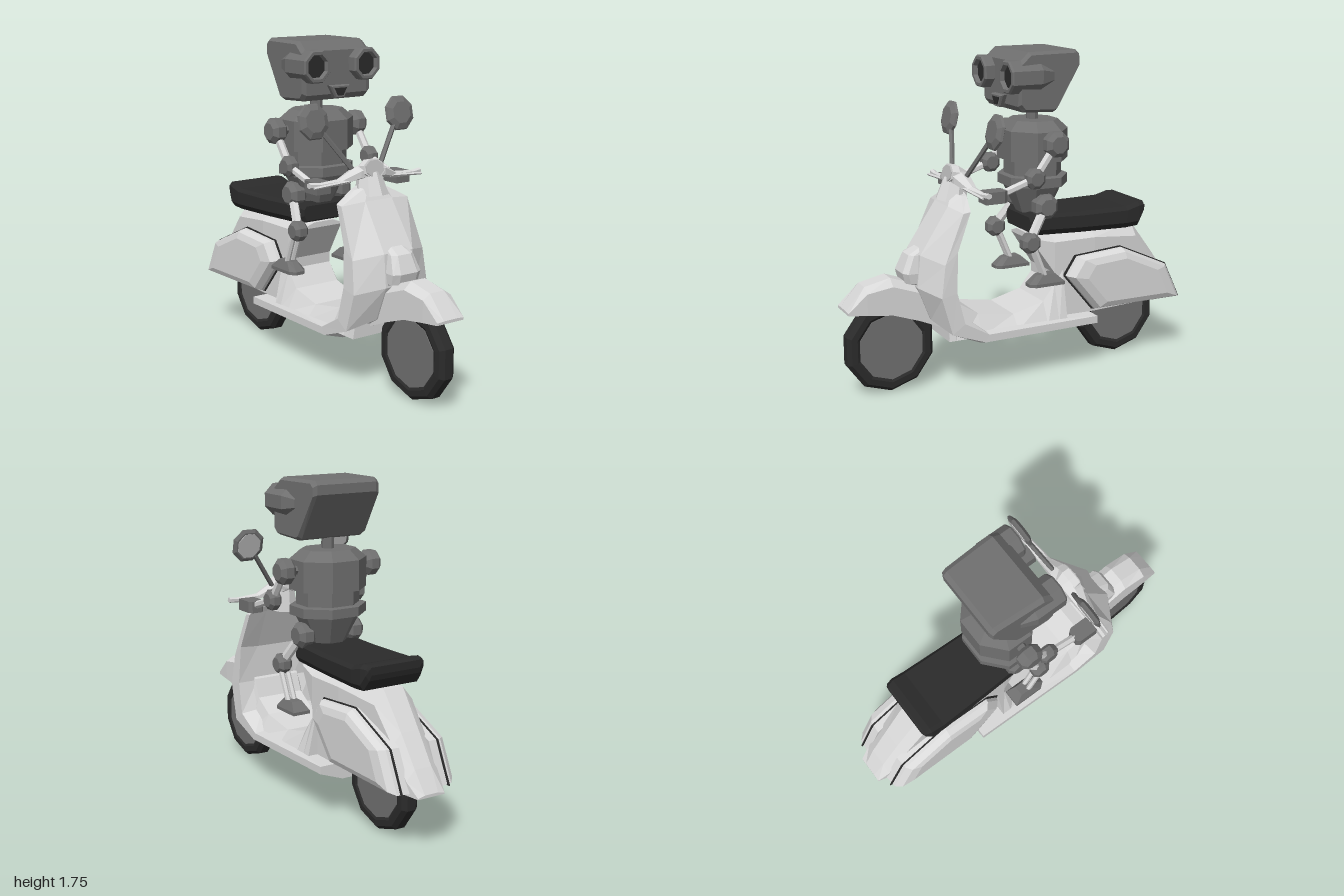
import * as THREE from 'three';

const paint = (name, color) => { const m = new THREE.MeshStandardMaterial({ color }); m.name = name; return m; };

export function createModel() {
  const model = new THREE.Group();
  const body = paint('pale paint', 0xd8d8d8), metal = paint('robot grey', 0x707070);
  const black = paint('black rubber', 0x2b2b2b), glass = paint('pale glass', 0xbdbdbd);

  // Adds a faceted mesh, turning faces outward where needed
  function add(name, geo, mat) {
    const g = geo.index ? geo.toNonIndexed() : geo;
    const p = g.attributes.position, a = new THREE.Vector3(), b = new THREE.Vector3(), c = new THREE.Vector3();
    let vol = 0;
    for (let i = 0; i < p.count; i += 3) {
      a.fromBufferAttribute(p, i); b.fromBufferAttribute(p, i + 1); c.fromBufferAttribute(p, i + 2);
      vol += a.dot(b.cross(c));
    }
    if (vol < 0) for (let i = 0; i < p.count; i += 3) {
      b.fromBufferAttribute(p, i + 1); c.fromBufferAttribute(p, i + 2);
      p.setXYZ(i + 1, c.x, c.y, c.z); p.setXYZ(i + 2, b.x, b.y, b.z);
    }
    g.computeVertexNormals();
    const mesh = new THREE.Mesh(g, mat);
    mesh.name = name;
    model.add(mesh);
    return mesh;
  }

  // Skin over closed rings of [x, y, z], capped at both ends
  function loft(rings) {
    const n = rings[0].length, out = [];
    const tri = (...pts) => pts.forEach(p => out.push(...p));
    for (let i = 0; i < rings.length - 1; i++) for (let j = 0; j < n; j++) {
      const k = (j + 1) % n, A = rings[i], B = rings[i + 1];
      tri(A[j], B[j], A[k]); tri(A[k], B[j], B[k]);
    }
    const cap = (r, flip) => {
      const mid = [0, 1, 2].map(d => r.reduce((s, p) => s + p[d], 0) / n);
      r.forEach((p, j) => { const q = r[(j + 1) % n]; flip ? tri(mid, q, p) : tri(mid, p, q); });
    };
    cap(rings[0], false); cap(rings[rings.length - 1], true);
    const g = new THREE.BufferGeometry();
    g.setAttribute('position', new THREE.Float32BufferAttribute(out, 3));
    return g;
  }

  // Rod between two points
  function rod(name, a, b, r0, r1, mat, sides = 6) {
    const A = new THREE.Vector3(...a), B = new THREE.Vector3(...b);
    const m = add(name, new THREE.CylinderGeometry(r1, r0, A.distanceTo(B), sides), mat);
    m.position.copy(A).add(B).multiplyScalar(0.5);
    m.quaternion.setFromUnitVectors(new THREE.Vector3(0, 1, 0), B.sub(A).normalize());
  }
  const lathe = (pts, sides, phi = 0) => new THREE.LatheGeometry(pts.map(p => new THREE.Vector2(...p)), sides, phi);
  // Octagonal joint drum lying along x
  const joint = (name, x, y, z, r, w) => add(name, lathe([[0, -w], [r * 0.65, -w], [r, -w * 0.5], [r, w * 0.5], [r * 0.65, w], [0, w]], 8, Math.PI / 8)
    .rotateZ(Math.PI / 2).translate(x, y, z), metal);

  // Wheels
  for (const [name, z] of [['front', 0.76], ['rear', -0.61]]) {
    add(name + 'Tyre', lathe([[0, -0.042], [0.18, -0.042], [0.195, -0.05], [0.228, -0.048], [0.248, -0.025], [0.248, 0.025], [0.228, 0.048],
      [0.195, 0.05], [0.18, 0.042], [0, 0.042]], 10, Math.PI / 2).rotateZ(Math.PI / 2).translate(0, 0.248, z), black);
    add(name + 'Hub', new THREE.CylinderGeometry(0.18, 0.18, 0.092, 10, 1, false, Math.PI / 2).rotateZ(Math.PI / 2).translate(0, 0.248, z), metal);
  }

  // Front fender: z, top, bottom, half width
  add('frontFender', loft([[1.0, 0.475, 0.46, 0.085], [0.9, 0.59, 0.45, 0.09], [0.76, 0.62, 0.43, 0.09], [0.62, 0.57, 0.38, 0.09], [0.48, 0.53, 0.32, 0.09]]
    .map(([z, t, b, w]) => {
      const s = t - (t - b) * 0.2;
      return [[-w, b, z], [-w, s, z], [-w * 0.5, t, z], [w * 0.5, t, z], [w, s, z], [w, b, z]];
    })), body);

  // Leg shield running into the floor: half width, outer centre, outer edge, inner edge, inner centre as z, y
  add('legShield', loft([
    [0.10, 0.41, 1.04, 0.38, 1.02, 0.35, 1.02, 0.35, 1.04],
    [0.215, 0.45, 0.97, 0.42, 0.955, 0.38, 0.96, 0.38, 0.97],
    [0.23, 0.61, 0.73, 0.53, 0.70, 0.46, 0.76, 0.47, 0.75],
    [0.24, 0.63, 0.56, 0.555, 0.53, 0.47, 0.55, 0.47, 0.55],
    [0.245, 0.56, 0.38, 0.50, 0.33, 0.43, 0.38, 0.41, 0.40],
    [0.24, 0.28, 0.21, 0.31, 0.26, 0.29, 0.30, 0.29, 0.31],
    [0.23, -0.37, 0.21, -0.37, 0.26, -0.37, 0.30, -0.37, 0.30],
  ].map(([w, cz, cy, ez, ey, iz, iy, jz, jy]) => [
    [-w, ey, ez], [-w * 0.4, cy, cz], [w * 0.4, cy, cz], [w, ey, ez], [w, iy, iz], [w * 0.5, jy, jz], [-w * 0.5, jy, jz], [-w, iy, iz]])), body);

  // Horn cover on the shield
  add('hornCover', loft([[0.055, 0.76, 0.50, 0.585], [0.07, 0.725, 0.50, 0.655], [0.09, 0.635, 0.5, 0.695], [0.085, 0.58, 0.5, 0.68], [0.07, 0.56, 0.5, 0.6]]
    .map(([w, y, b, f]) => [[-w, y, b], [-w, y, f - 0.02], [-w * 0.6, y, f], [w * 0.6, y, f], [w, y, f - 0.02], [w, y, b]])), body);

  // Floor tunnel: z, top
  add('floorTunnel', loft([[0.5, 0.6], [0.46, 0.56], [0.42, 0.46], [0.31, 0.39], [0.1, 0.355], [-0.08, 0.4], [-0.15, 0.49], [-0.2, 0.56]]
    .map(([z, t]) => [[-0.2, 0.28, z], [-0.14, t, z], [0.14, t, z], [0.2, 0.28, z]])), body);

  // Rear body: z, half width, bottom, shoulder, top
  add('rearBody', loft([
    [-0.02, 0.12, 0.74, 0.75, 0.77], [-0.15, 0.14, 0.55, 0.72, 0.78], [-0.16, 0.14, 0.3, 0.72, 0.78], [-0.4, 0.14, 0.3, 0.72, 0.78],
    [-0.68, 0.115, 0.3, 0.69, 0.76], [-0.82, 0.105, 0.3, 0.52, 0.575], [-0.93, 0.1, 0.3, 0.37, 0.42], [-1.0, 0.08, 0.295, 0.3, 0.31],
  ].map(([z, w, b, s, t]) => [[-w, b, z], [-w, s, z], [-w * 0.5, t, z], [w * 0.5, t, z], [w, s, z], [w, b, z]])), body);

  // Side cowls with a dark gap behind them
  const cowl = [[-0.2, 0.53], [-0.27, 0.635], [-0.56, 0.655], [-0.86, 0.52], [-0.96, 0.31], [-0.38, 0.315]];
  const cowlRing = (x, k) => cowl.map(([z, y]) => [x, 0.47 + (y - 0.47) * k, -0.58 + (z + 0.58) * k]);
  for (const s of [1, -1]) {
    add('cowl', loft([cowlRing(s * 0.09, 0.98), cowlRing(s * 0.165, 0.96), cowlRing(s * 0.198, 0.87), cowlRing(s * 0.212, 0.68)]), body);
    add('cowlGap', loft([cowlRing(s * 0.138, 1.0), cowlRing(s * 0.146, 1.0)]), black);
  }

  // Seat: z, half width, bottom, top
  add('seat', loft([[0.0, 0.14, 0.79, 0.87], [-0.03, 0.165, 0.775, 0.89], [-0.3, 0.175, 0.765, 0.88], [-0.58, 0.185, 0.76, 0.88],
    [-0.655, 0.185, 0.765, 0.9], [-0.69, 0.175, 0.82, 0.9], [-0.7, 0.165, 0.85, 0.89]]
    .map(([z, w, b, t]) => [[-w * 0.88, b, z], [-w, b + 0.03, z], [-w, t - 0.02, z], [-w * 0.9, t, z], [w * 0.9, t, z], [w, t - 0.02, z], [w, b + 0.03, z], [w * 0.88, b, z]])), black);

  // Steering head, headlight and handlebars
  rod('steeringColumn', [0, 0.98, 0.39], [0, 1.1, 0.37], 0.09, 0.06, body, 8);
  add('headlightShell', lathe([[0, -0.07], [0.045, -0.06], [0.075, 0], [0.07, 0.04], [0, 0.04]], 8, Math.PI / 8)
    .scale(1, 1, 0.75).rotateX(Math.PI / 2 - 0.25).translate(0, 1.115, 0.375), body);
  add('headlightLens', new THREE.CylinderGeometry(0.06, 0.06, 0.006, 8, 1, false, Math.PI / 8)
    .scale(1, 1, 0.75).rotateX(Math.PI / 2 - 0.25).translate(0, 1.125, 0.416), glass);
  for (const s of [1, -1]) {
    // x, y, z, half height, half depth
    add('handlebar', loft([[0, 1.11, 0.365, 0.045, 0.05], [0.08, 1.1, 0.365, 0.035, 0.045], [0.18, 1.065, 0.355, 0.018, 0.025],
      [0.3, 1.06, 0.35, 0.014, 0.014], [0.36, 1.065, 0.345, 0.015, 0.015]]
      .map(([x, y, z, h, d]) => [[-d, -h / 2], [-d, h / 2], [0, h], [d, h / 2], [d, -h / 2], [0, -h]].map(([dz, dy]) => [s * x, y + dy, z + dz]))), body);
    rod('brakeLever', [s * 0.13, 1.07, 0.385], [s * 0.35, 1.055, 0.375], 0.009, 0.007, body, 4);

    // Mirrors
    rod('mirrorStalk', [s * 0.09, 1.12, 0.345], [s * 0.23, 1.31, 0.285], 0.014, 0.014, metal, 5);
    const place = g => g.rotateX(Math.PI / 2 - 0.22).translate(s * 0.28, 1.37, 0.272);
    add('mirrorShell', place(lathe([[0, -0.014], [0.078, -0.014], [0.097, -0.004], [0.092, 0.008], [0.06, 0.022], [0, 0.022]], 8, Math.PI / 8)), metal);
    add('mirrorGlass', place(new THREE.CylinderGeometry(0.07, 0.07, 0.006, 8, 1, false, Math.PI / 8).translate(0, -0.015, 0)), glass);
  }

  // Robot torso and neck
  const k = 1 / Math.cos(Math.PI / 8);
  add('torso', lathe([[0, 0.88], [0.08, 0.88], [0.145, 1.03], [0.17, 1.035], [0.17, 1.085], [0.14, 1.09], [0.14, 1.165], [0.17, 1.17], [0.17, 1.33], [0.12, 1.38], [0, 1.38]]
    .map(([r, y]) => [r * k, y]), 8, Math.PI / 8).scale(1.15, 1, 1).translate(0, 0, -0.085), metal);
  add('neck', new THREE.CylinderGeometry(0.034, 0.034, 0.1, 8).translate(0, 1.41, -0.083), metal);

  // Robot head, tapering to the back
  const face = [[0.075, 1.445], [0.1, 1.475], [0.095, 1.7], [0.04, 1.75], [-0.24, 1.752], [-0.262, 1.73], [-0.262, 1.68], [-0.125, 1.445], [-0.105, 1.435]];
  add('head', loft([[-0.215, 0.9], [-0.19, 1], [0.19, 1], [0.215, 0.9]].map(([x, q]) =>
    face.map(([z, y]) => [x * (1 + z * 0.25), 1.6 + (y - 1.6) * q, -0.07 + (z + 0.07) * (q + 1) / 2]))), metal);

  // Beak with dark mouth
  const beak = (q, z) => [[-0.065, 0.033], [0.065, 0.033], [0.028, -0.033], [-0.028, -0.033]].map(([x, y]) => [x * q, 1.488 + y * q, z]);
  add('beak', loft([beak(1, 0.08), beak(1, 0.12), beak(0.85, 0.13)]), metal);
  add('mouth', loft([beak(0.6, 0.129), beak(0.6, 0.134)]), black);

  for (const s of [1, -1]) {
    // Eyes
    add('eyeHousing', lathe([[0, -0.1], [0.055, -0.1], [0.09, -0.02], [0.09, 0.145], [0.083, 0.155], [0.067, 0.155], [0.06, 0.125], [0, 0.125]], 8, Math.PI / 8)
      .rotateX(Math.PI / 2).translate(s * 0.162, 1.625, 0), metal);
    add('eyeLens', new THREE.CylinderGeometry(0.06, 0.06, 0.008, 8, 1, false, Math.PI / 8).rotateX(Math.PI / 2).translate(s * 0.162, 1.625, 0.128), black);

    // Arms
    rod('shoulderPin', [s * 0.15, 1.28, -0.083], [s * 0.25, 1.28, -0.083], 0.025, 0.025, metal);
    joint('shoulder', s * 0.265, 1.28, -0.083, 0.07, 0.045);
    rod('upperArm', [s * 0.265, 1.28, -0.083], [s * 0.265, 1.11, 0.04], 0.022, 0.022, body);
    joint('elbow', s * 0.265, 1.11, 0.04, 0.056, 0.035);
    rod('forearm', [s * 0.265, 1.11, 0.04], [s * 0.262, 1.04, 0.25], 0.02, 0.02, body);
    add('hand', loft([[0.21, 0.03], [0.23, 0.045], [0.335, 0.045]]
      .map(([z, w]) => [[-w, 1.008], [-w, 1.07], [w, 1.07], [w, 1.008]].map(([x, y]) => [s * 0.26 + x, y, z]))), metal);

    // Legs
    joint('hip', s * 0.15, 0.93, -0.08, 0.07, 0.05);
    rod('thigh', [s * 0.16, 0.93, -0.08], [s * 0.21, 0.76, 0.04], 0.026, 0.026, body);
    joint('knee', s * 0.21, 0.757, 0.038, 0.056, 0.04);
    for (const d of [-0.018, 0.018]) rod('shin', [s * 0.21 + d, 0.75, 0.03], [s * 0.205 + d, 0.57, -0.045], 0.015, 0.015, body);
    add('foot', loft([[0.518, 0.05, 0.05, -0.15], [0.535, 0.05, 0.05, -0.15], [0.58, 0.03, 0.0, -0.1]]
      .map(([y, w, f, b]) => [[-w, b], [-w, f - 0.03], [-w * 0.5, f], [w * 0.5, f], [w, f - 0.03], [w, b]].map(([x, z]) => [s * 0.205 + x, y, z]))), metal);
  }
  return model;
}
